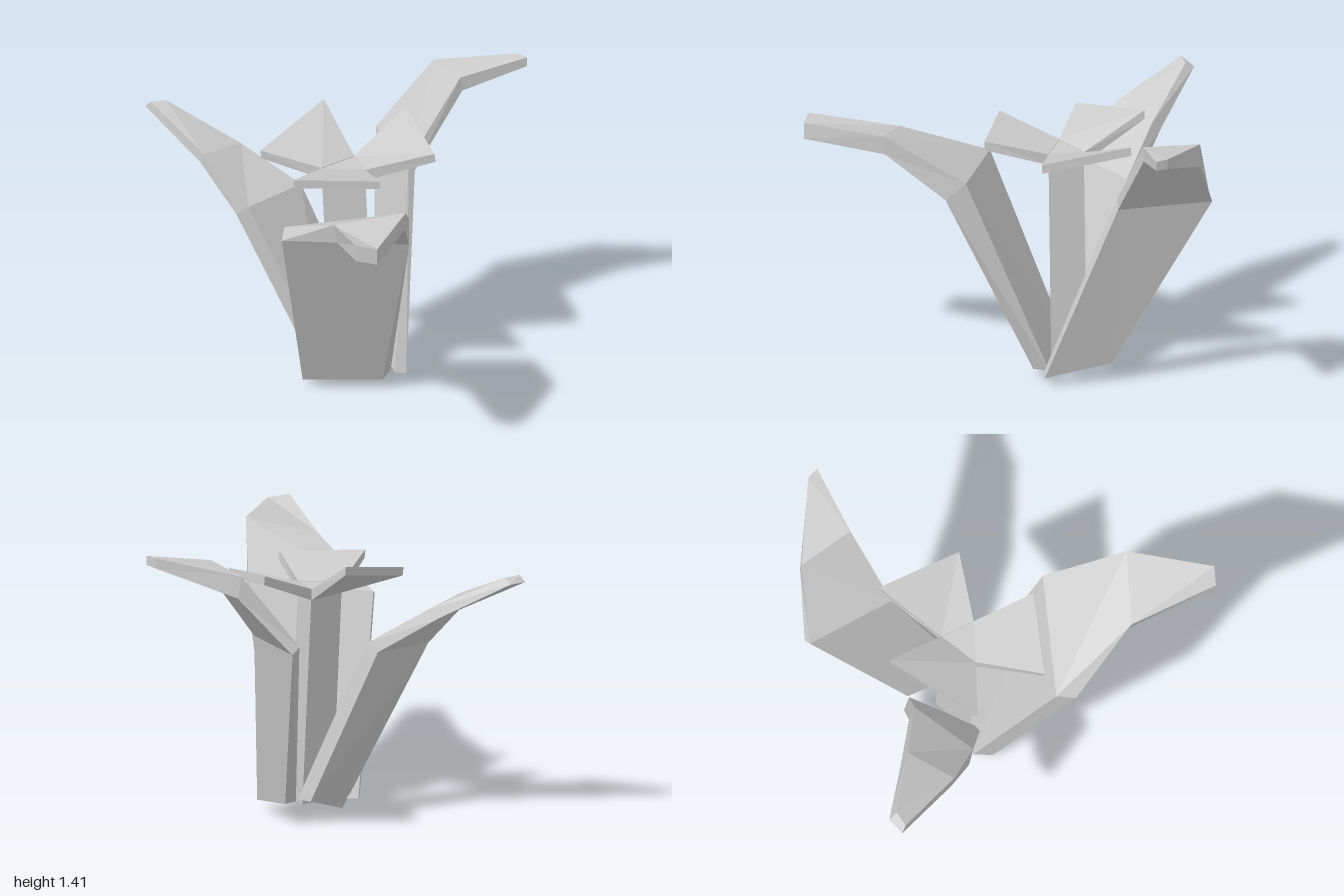
import * as THREE from 'three';

const material = new THREE.MeshStandardMaterial({ color: 0xcccccc, flatShading: true });

// Joins a row of matching cross-sections into a closed faceted solid.
function loft(name, sections) {
  const n = sections[0].length;
  const last = sections.length - 1;
  const tris = [];
  for (let s = 0; s < last; s++) {
    for (let i = 0; i < n; i++) {
      const j = (i + 1) % n;
      const [a, b, c, d] = [sections[s][i], sections[s][j], sections[s + 1][j], sections[s + 1][i]];
      tris.push([a, b, c], [a, c, d]);
    }
  }
  for (let i = 1; i < n - 1; i++) {
    tris.push([sections[0][0], sections[0][i + 1], sections[0][i]]);
    tris.push([sections[last][0], sections[last][i], sections[last][i + 1]]);
  }
  // Turn the faces outward if the signed volume is negative.
  let volume = 0;
  const [p, q, r] = [new THREE.Vector3(), new THREE.Vector3(), new THREE.Vector3()];
  for (const [a, b, c] of tris) volume += p.fromArray(a).dot(q.fromArray(b).cross(r.fromArray(c)));
  if (volume < 0) tris.forEach((t) => t.reverse());

  const geometry = new THREE.BufferGeometry();
  geometry.setAttribute('position', new THREE.Float32BufferAttribute(tris.flat(2), 3));
  geometry.computeVertexNormals();
  const mesh = new THREE.Mesh(geometry, material);
  mesh.name = name;
  return mesh;
}

// Each leaf runs base, bend, shoulder, tip; a section is two upper then two lower corners.
const leaves = {
  frontLeaf: [
    [[-0.35, 0.05, -0.25], [0.01, 0.055, -0.06], [-0.06, 0.045, 0], [-0.4, 0.04, -0.17]],
    [[-0.6, 0.97, 0.06], [-0.07, 1.025, 0.33], [-0.11, 0.935, 0.42], [-0.65, 0.94, 0.14]],
    [[-0.55, 1.16, 0.52], [-0.25, 1.238, 0.69], [-0.25, 1.145, 0.68], [-0.53, 1.065, 0.52]],
    [[-0.63, 1.245, 0.95], [-0.54, 1.23, 1], [-0.54, 1.15, 1], [-0.63, 1.165, 0.95]],
  ],
  leftLeaf: [
    [[0.02, 0.055, -0.03], [0.05, 0.11, -0.36], [0.1, 0.1, -0.345], [0.075, 0.045, -0.02]],
    [[0.23, 0.99, -0.335], [0.26, 0.99, -0.78], [0.3, 0.955, -0.785], [0.26, 0.945, -0.33]],
    [[0.52, 1.36, -0.38], [0.51, 1.34, -0.665], [0.53, 1.235, -0.66], [0.53, 1.29, -0.38]],
    [[0.855, 1.415, -0.35], [0.84, 1.415, -0.41], [0.84, 1.365, -0.41], [0.855, 1.37, -0.35]],
  ],
  backLeaf: [
    [[-0.25, 0.03, -0.14], [0.04, 0.12, -0.36], [0, 0.115, -0.415], [-0.29, 0, -0.2]],
    [[-0.58, 0.88, -0.4], [-0.25, 0.89, -0.52], [-0.28, 0.85, -0.57], [-0.62, 0.83, -0.45]],
    [[-0.72, 1.1, -0.6], [-0.48, 1.07, -0.71], [-0.5, 1.03, -0.76], [-0.73, 1.05, -0.62]],
    [[-0.84, 1.25, -0.955], [-0.76, 1.245, -0.955], [-0.765, 1.22, -1], [-0.855, 1.22, -0.985]],
  ],
};

// Corners of the three-sided stem, as x and z.
const corners = [[-0.29, -0.195], [-0.09, -0.26], [-0.11, -0.09]];

// Outer edge of each petal, opposite stem sides 0-1, 1-2 and 2-0.
const petals = [
  ['backPetal', [-0.54, 1.19, -0.35], [-0.11, 1.29, -0.565]],
  ['leftPetal', [0.24, 1.25, -0.4], [0.2, 1.19, 0.03]],
  ['frontPetal', [-0.17, 1.19, 0.21], [-0.54, 1.19, 0.03]],
];

export function createModel() {
  const model = new THREE.Group();
  model.name = 'plant';

  for (const [name, sections] of Object.entries(leaves)) model.add(loft(name, sections));

  // Stem, its foot set slightly to one side
  model.add(loft('stem', [
    corners.map(([x, z]) => [x + 0.05, 0.06, z]),
    corners.map(([x, z]) => [x, 1.112, z]),
  ]));

  // Petals spreading from the sides of the stem
  petals.forEach(([name, outerA, outerB], i) => {
    const [a, b] = [corners[i], corners[(i + 1) % 3]];
    const lower = ([x, y, z]) => [x + 0.005, y - 0.042, z];
    model.add(loft(name, [
      [[a[0], 1.115, a[1]], [b[0], 1.115, b[1]], [b[0], 1.06, b[1]], [a[0], 1.06, a[1]]],
      [outerA, outerB, lower(outerB), lower(outerA)],
    ]));
  });

  return model;
}
